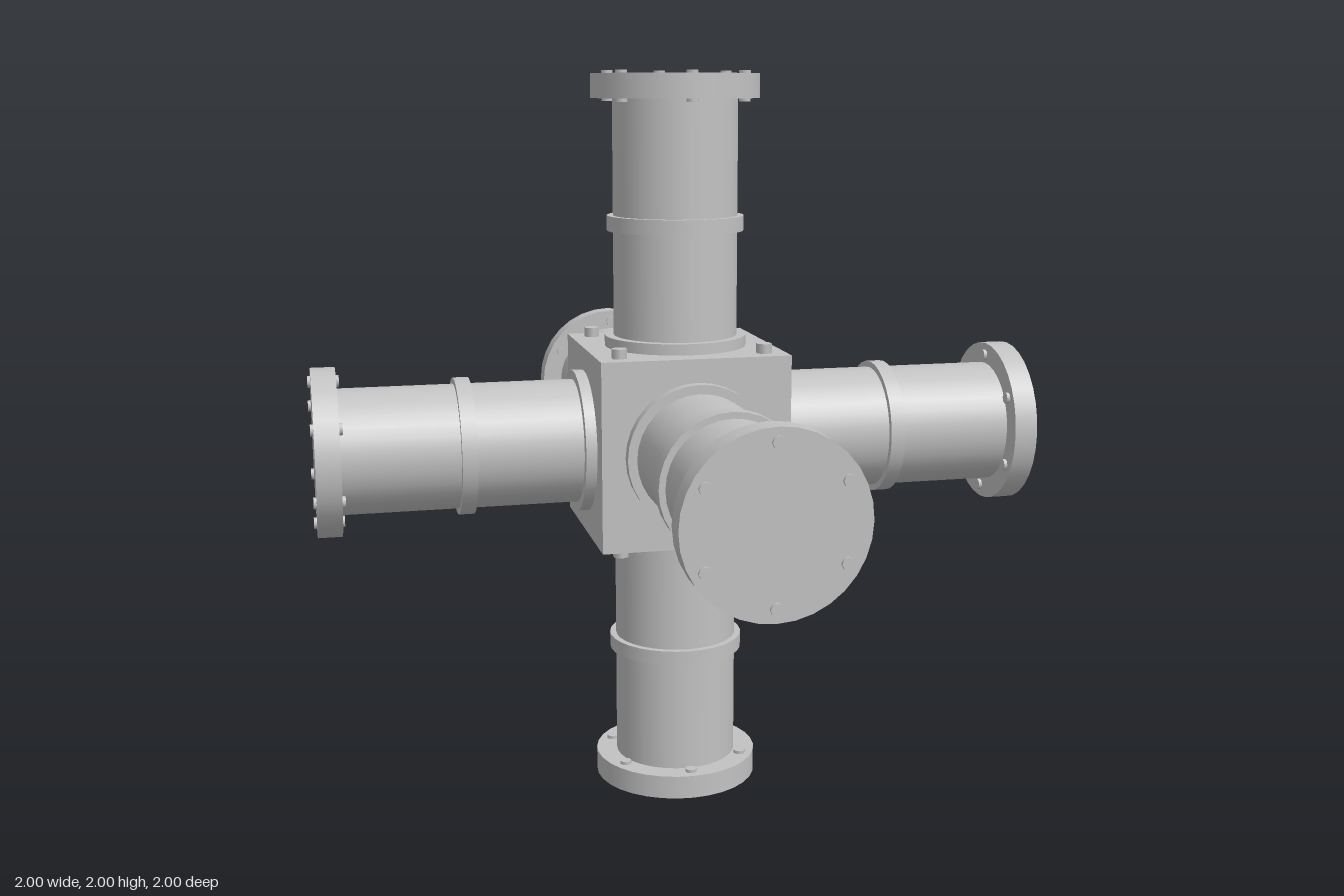
import * as THREE from 'three';

const grey = new THREE.MeshStandardMaterial({ color: 0xc2c2c2 });
grey.name = 'light steel grey';

// Cylinder along +y between two heights
function disc(name, radius, y0, y1, sides = 32) {
  const geometry = new THREE.CylinderGeometry(radius, radius, y1 - y0, sides);
  const mesh = new THREE.Mesh(geometry, grey);
  mesh.position.y = (y0 + y1) / 2;
  mesh.name = name;
  return mesh;
}

// One pipe arm pointing along +y from the hub centre
function createArm(name) {
  const arm = new THREE.Group();
  arm.name = name;
  arm.add(
    disc('pipe', 0.17, 0.2, 0.95),
    disc('baseCollar', 0.195, 0.25, 0.288),
    disc('band', 0.187, 0.574, 0.615),
    disc('endFlange', 0.228, 0.927, 0.992)
  );
  // Six bolts passing through the flange
  for (let i = 0; i < 6; i++) {
    const a = (i / 6) * Math.PI * 2;
    const bolt = disc('flangeBolt', 0.016, 0.918, 1, 8);
    bolt.position.x = Math.sin(a) * 0.193;
    bolt.position.z = Math.cos(a) * 0.193;
    arm.add(bolt);
  }
  return arm;
}

export function createModel() {
  const model = new THREE.Group();
  model.name = 'pipeJunction';

  const hub = new THREE.Group();
  hub.name = 'junction';
  hub.position.y = 1;
  model.add(hub);

  // Central cube
  const block = new THREE.Mesh(new THREE.BoxGeometry(0.516, 0.516, 0.516), grey);
  block.name = 'hubBlock';
  hub.add(block);

  // Six arms: name, direction, and the axis that the first bolt lies on
  const X = new THREE.Vector3(1, 0, 0);
  const Y = new THREE.Vector3(0, 1, 0);
  const Z = new THREE.Vector3(0, 0, 1);
  const arms = [
    ['topArm', Y, Z], ['bottomArm', Y.clone().negate(), Z],
    ['leftArm', X, Y], ['rightArm', X.clone().negate(), Y],
    ['frontArm', Z, Y], ['backArm', Z.clone().negate(), Y]
  ];
  for (const [name, along, boltAxis] of arms) {
    const arm = createArm(name);
    const side = along.clone().cross(boltAxis);
    arm.quaternion.setFromRotationMatrix(new THREE.Matrix4().makeBasis(side, along, boltAxis));
    hub.add(arm);
  }

  // Hexagonal corner bolts on the top and bottom of the cube
  for (const sy of [1, -1])
    for (const sx of [1, -1])
      for (const sz of [1, -1]) {
        const bolt = disc('cornerBolt', 0.022, 0.25, 0.284, 6);
        bolt.position.set(sx * 0.198, sy * bolt.position.y, sz * 0.198);
        hub.add(bolt);
      }

  return model;
}
